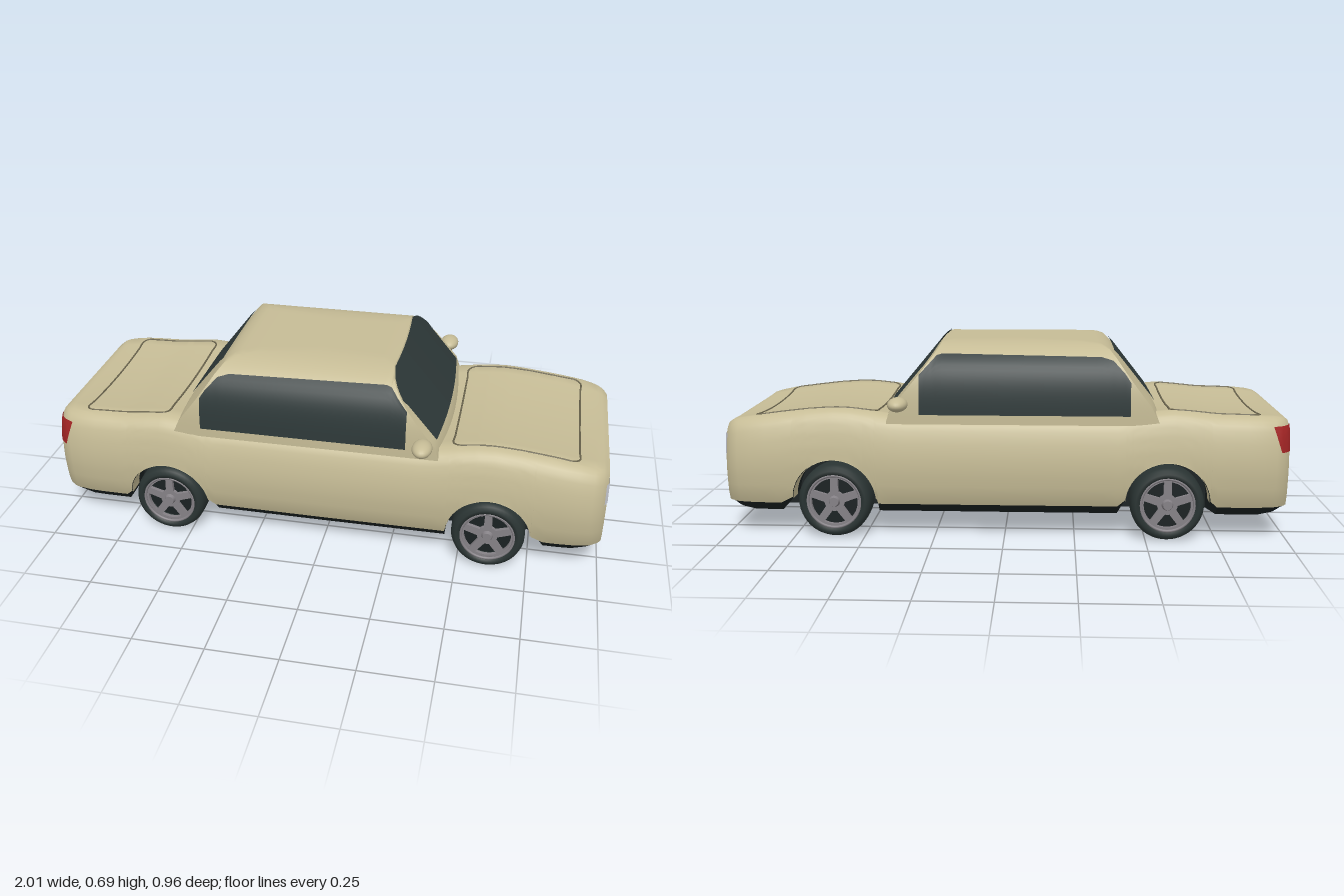
import * as THREE from 'three';
import { toCreasedNormals } from 'three/addons/utils/BufferGeometryUtils.js';

const mat = (name, color) => {
  const m = new THREE.MeshStandardMaterial({ color, side: THREE.DoubleSide });
  m.name = name;
  return m;
};

// piecewise interpolation through [x, y] pairs
function table(pts) {
  return (x) => {
    if (x <= pts[0][0]) return pts[0][1];
    for (let i = 1; i < pts.length; i++) {
      const [a, p] = pts[i - 1], [b, q] = pts[i];
      if (x <= b) return p + (q - p) * (x - a) / (b - a);
    }
    return pts[pts.length - 1][1];
  };
}

// surface from a function of column and row indices returning [x, y, z]
function grid(fn, nu, nv, crease = 0.6) {
  const pos = [], idx = [];
  for (let i = 0; i <= nu; i++) for (let j = 0; j <= nv; j++) pos.push(...fn(i, j));
  for (let i = 0; i < nu; i++) for (let j = 0; j < nv; j++) {
    const a = i * (nv + 1) + j, b = a + nv + 1;
    idx.push(a, b, a + 1, b, b + 1, a + 1);
  }
  const g = new THREE.BufferGeometry();
  g.setAttribute('position', new THREE.Float32BufferAttribute(pos, 3));
  g.setIndex(idx);
  return toCreasedNormals(g, crease);
}

const WHEELS = [-0.575, 0.605], WHEEL_Y = 0.135, ARCH_R = 0.15, SILL = 0.12, WELL_Z = 0.25;

// body outline: half width in plan, height in profile, bulge of the side
const width = table([[-1, 0.335], [-0.99, 0.352], [-0.965, 0.373], [-0.93, 0.387], [-0.85, 0.392], [0, 0.395],
  [0.85, 0.392], [0.93, 0.387], [0.965, 0.373], [0.99, 0.352], [1, 0.335]]);
const height = table([[-1, 0.42], [-0.98, 0.433], [-0.93, 0.441], [-0.75, 0.446], [-0.65, 0.456], [-0.59, 0.46],
  [-0.52, 0.453], [-0.4, 0.434], [0.38, 0.434], [0.48, 0.45], [0.55, 0.458], [0.61, 0.46], [0.7, 0.454],
  [0.8, 0.442], [0.93, 0.424], [0.98, 0.41], [1, 0.395]]);
const bulge = table([[0, 0.93], [0.12, 0.97], [0.28, 0.99], [0.45, 1], [0.62, 0.99], [0.78, 0.965],
  [0.9, 0.93], [0.97, 0.88], [1, 0.82]]);
const floorY = table([[-1, 0.118], [-0.93, 0.088], [0.93, 0.088], [1, 0.118]]);
const dip = table([[-1, 0], [-0.93, 0.018], [0.93, 0.018], [1, 0]]);
const sideZ = (x, y) => width(x) * bulge((y - SILL) / (height(x) - SILL));
const topY = (x, z) => height(x) - dip(x) * Math.max(0, 1 - (z / (0.82 * width(x))) ** 2);
function archY(x) {
  for (const c of WHEELS) {
    const d = ARCH_R ** 2 - (x - c) ** 2;
    if (d > 0) return Math.max(SILL, WHEEL_Y + Math.sqrt(d));
  }
  return SILL;
}

// cabin: side section and roof profile
const ROOF = 0.69, CABIN_BASE = 0.41;
const cabinZ = (y) => 0.365 * (1 - Math.min(1, Math.max(0, (y - CABIN_BASE) / (ROOF - CABIN_BASE))) ** 3.2) ** (1 / 4.5);
const cabinH = table([[-0.558, 0.42], [-0.53, 0.475], [-0.4, 0.64], [-0.375, 0.665], [-0.34, 0.68], [-0.27, 0.686],
  [-0.05, 0.689], [0.2, 0.688], [0.238, 0.684], [0.425, 0.46], [0.438, 0.42]]);
function bow(x, z) {
  const front = THREE.MathUtils.smoothstep(x, 0.1, 0.26), rear = 1 - THREE.MathUtils.smoothstep(x, -0.4, -0.2);
  return x - 0.022 * front * (z / 0.36) ** 2 + 0.015 * rear * (z / 0.36) ** 4;
}

export function createModel() {
  const car = new THREE.Group();
  car.name = 'car';
  const paint = mat('beige paint', 0xc6bc96), glass = mat('dark glass', 0x2e3939), under = mat('black underside', 0x1a2122);
  const rubber = mat('tyre rubber', 0x2a3433), alloy = mat('grey alloy', 0x858186), lamp = mat('clear lamp', 0xc6c8d0);
  const red = mat('red lamp', 0xa02424), seam = mat('panel seam', 0x6d6750);
  const add = (name, geo, m, parent = car) => {
    const mesh = new THREE.Mesh(geo, m);
    mesh.name = name;
    parent.add(mesh);
    return mesh;
  };

  // stations along the car, denser at the ends and around the arches
  const set = new Set();
  for (let i = -19; i <= 19; i++) set.add(i * 0.05);
  for (const e of [0.965, 0.98, 0.99, 1]) set.add(e).add(-e);
  for (const c of WHEELS) {
    for (let i = 0; i <= 20; i++) set.add(c + 0.1492 * Math.cos(i * Math.PI / 20));
    set.add(c - 0.1497).add(c + 0.1497);
  }
  const xs = [...set].sort((a, b) => a - b), n = xs.length - 1;

  // painted shell, from one sill over the top to the other
  const SIDE = 14, TOP = 6, HALF = SIDE + TOP;
  const shellPoint = (x, j) => {
    const s = j > HALF ? -1 : 1, k = j > HALF ? 2 * HALF - j : j;
    if (k <= SIDE) {
      const lo = archY(x), y = lo + (height(x) - lo) * Math.sin(k / SIDE * Math.PI / 2);
      return [x, y, s * sideZ(x, y)];
    }
    const z = 0.82 * width(x) * (1 - (k - SIDE) / TOP);
    return [x, topY(x, z), s * z];
  };
  add('bodyShell', grid((i, j) => shellPoint(xs[i], j), n, 2 * HALF), paint);
  for (const x of [-1, 1]) {
    add(x > 0 ? 'nosePanel' : 'tailPanel', grid((i, j) => {
      const [, y, z] = shellPoint(x, j);
      return [x, y, i ? -z : z];
    }, 1, SIDE), paint);
  }

  // underside with open wheel wells
  const underPoint = (x, k) => {
    const y = archY(x), inArch = y > SILL, f = floorY(x);
    if (k === 0) return [y, sideZ(x, y)];
    if (k === 1) return inArch ? [y, WELL_Z] : [f, 0.86 * width(x)];
    return [f, k === 2 ? WELL_Z : 0];
  };
  add('underside', grid((i, j) => {
    const [y, z] = underPoint(xs[i], j > 3 ? 6 - j : j);
    return [xs[i], y, j > 3 ? -z : z];
  }, n, 6, 0.3), under);

  for (const s of [-1, 1]) for (const c of WHEELS) {
    // painted arch lining
    add('archLining', grid((i, j) => {
      const a = 0.02 + (Math.PI - 0.04) * i / 24, x = c + 0.148 * Math.cos(a), y = WHEEL_Y + 0.148 * Math.sin(a);
      return [x, y, s * (j ? sideZ(x, y) : 0.31)];
    }, 24, 1), paint);
  }

  // hood and boot seams
  for (const [name, a, b] of [['hoodSeam', 0.46, 0.895], ['bootSeam', -0.9, -0.585]]) {
    const pts = [], zw = 0.308, r = 0.02;
    const corners = [[a, -zw], [b, -zw], [b, zw], [a, zw]];
    corners.forEach(([x, z], i) => {
      const [nx, nz] = corners[(i + 1) % 4], len = Math.hypot(nx - x, nz - z);
      for (let k = 0; k <= 10; k++) {
        const t = (r + (len - 2 * r) * k / 10) / len, px = x + (nx - x) * t, pz = z + (nz - z) * t;
        pts.push(new THREE.Vector3(px, topY(px, pz) + 0.0005, pz));
      }
    });
    add(name, new THREE.TubeGeometry(new THREE.CatmullRomCurve3(pts, true), 160, 0.0035, 6, true), seam);
  }

  // cabin
  const CN = 70, CS = 18, CT = 6, CH = CS + CT;
  add('cabin', grid((i, j) => {
    const x = -0.558 + 0.996 * i / CN, s = j > CH ? -1 : 1, k = j > CH ? 2 * CH - j : j, h = cabinH(x);
    const y = k < CS ? CABIN_BASE + (h - CABIN_BASE) * Math.sin(k / CS * Math.PI / 2) : h;
    const z = s * cabinZ(y) * (k > CS ? 1 - (k - CS) / CT : 1);
    return [bow(x, z), y, z];
  }, CN, 2 * CH), paint);

  // windscreen and rear window lie just outside the cabin slopes
  const slopeGlass = (name, x0, x1, half, dx) => add(name, grid((i, j) => {
    const x = x0 + (x1 - x0) * i / 12, y = cabinH(x), z = half(x, y) * (j / 8 - 1);
    return [bow(x, z) + dx, y + 0.003, z];
  }, 12, 16), glass);
  slopeGlass('windscreen', 0.24, 0.418, (x, y) => (y > 0.6 ? cabinZ(y) : Math.min(0.325, cabinZ(y))), 0.004);
  slopeGlass('rearWindow', -0.535, -0.385, (x) => 0.185 + 0.035 * (x + 0.535) / 0.15, -0.004);

  // side windows
  const windowTop = table([[-0.44, 0.56], [-0.42, 0.59], [-0.38, 0.632], [-0.34, 0.643], [0.235, 0.652], [0.3, 0.582]]);
  for (const s of [-1, 1]) {
    add('sideWindow', grid((i, j) => {
      const x = -0.44 + 0.74 * i / 37, y = 0.443 + (windowTop(x) - 0.443) * j / 12;
      return [x, y + 0.001, s * (cabinZ(y) + 0.004)];
    }, 37, 12), glass);

    // mirror on a stalk
    const mirror = add('mirror', new THREE.SphereGeometry(1, 24, 16), paint);
    mirror.scale.set(0.035, 0.025, 0.052);
    mirror.position.set(0.365, 0.491, s * 0.427);
    const stalk = add('mirrorStalk', new THREE.BoxGeometry(0.025, 0.009, 0.08), under);
    stalk.position.set(0.365, 0.472, s * 0.365);

    // lamps: an end plate and a wrap around the corner
    const plate = (name, x, y0, y1, inner, m) => add(name, grid((i, j) => {
      const y = y0 + (y1 - y0) * j / 4;
      return [x * 1.002, y, s * (i ? sideZ(x, y) + 0.002 : inner)];
    }, 1, 4), m);
    const wrap = (name, x, y0, y1, depth, m) => add(name, grid((i, j) => {
      const y = y0 + (y1 - y0) * j / 6, px = x * (1 - depth(y) * i / 8);
      return [px + x * 0.002, y, s * (sideZ(px, y) + 0.003)];
    }, 8, 6), m);
    plate('headlamp', 1, 0.295, 0.365, 0.235, lamp);
    wrap('headlampCorner', 1, 0.295, 0.365, () => 0.01, lamp);
    plate('tailLampUpper', -1, 0.36, 0.41, 0.24, red);
    plate('tailLampLower', -1, 0.32, 0.36, 0.28, red);
    wrap('tailLampCorner', -1, 0.32, 0.41, (y) => 0.035 + 0.03 * (y - 0.32) / 0.09, red);
  }

  // dark plates on the nose and tail
  const grille = add('grille', new THREE.BoxGeometry(0.006, 0.19, 0.218), glass);
  grille.position.set(1, 0.265, -0.109);
  const tailPlate = add('tailPlate', new THREE.BoxGeometry(0.006, 0.075, 0.11), glass);
  tailPlate.position.set(-1, 0.188, -0.055);

  // wheels: rounded tyre, spoked disc, hub
  const tyreProfile = [[0.094, -0.058], [0.112, -0.06], [0.124, -0.052], [0.13, -0.035], [0.131, 0],
    [0.13, 0.035], [0.124, 0.052], [0.112, 0.06], [0.098, 0.058], [0.094, 0.04]].map(([r, y]) => new THREE.Vector2(r, y));
  const tyreGeo = new THREE.LatheGeometry(tyreProfile, 48).rotateX(Math.PI / 2);
  const disc = new THREE.Shape().absarc(0, 0, 0.097, 0, Math.PI * 2);
  for (let k = 0; k < 5; k++) {
    const a = Math.PI / 2 + Math.PI / 5 + k * Math.PI * 2 / 5;
    const hole = new THREE.Path();
    hole.absarc(0, 0, 0.083, a - 0.47, a + 0.47, false);
    hole.absarc(0, 0, 0.036, a + 0.22, a - 0.22, true);
    hole.closePath();
    disc.holes.push(hole);
  }
  const discGeo = new THREE.ExtrudeGeometry(disc, { depth: 0.014, bevelEnabled: false, curveSegments: 24 });
  for (const s of [-1, 1]) for (const c of WHEELS) {
    const wheel = new THREE.Group();
    wheel.name = c > 0 ? 'frontWheel' : 'rearWheel';
    add('tyre', tyreGeo, rubber, wheel);
    add('spokes', discGeo, alloy, wheel).position.z = 0.034;
    add('rimLip', new THREE.TorusGeometry(0.094, 0.005, 8, 48), alloy, wheel).position.z = 0.054;
    add('brakeDrum', new THREE.CylinderGeometry(0.095, 0.095, 0.07, 32).rotateX(Math.PI / 2), under, wheel).position.z = -0.02;
    add('hub', new THREE.CylinderGeometry(0.016, 0.022, 0.016, 20).rotateX(Math.PI / 2), alloy, wheel).position.z = 0.052;
    wheel.position.set(c, 0.131, s * 0.33);
    if (s < 0) wheel.rotation.y = Math.PI;
    car.add(wheel);
  }
  return car;
}
